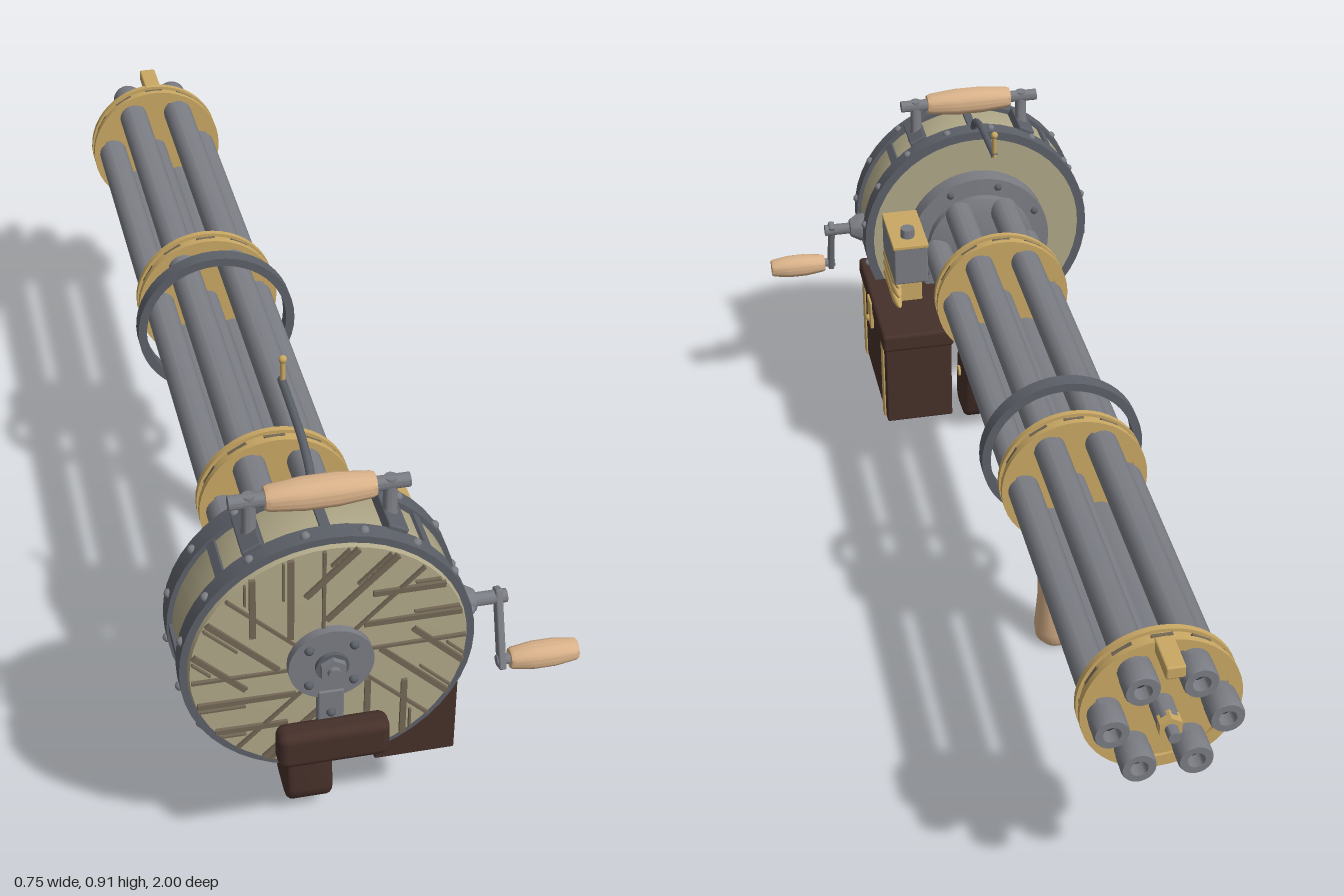
import * as THREE from 'three';
import { toCreasedNormals } from 'three/addons/utils/BufferGeometryUtils.js';
import { RoundedBoxGeometry } from 'three/addons/geometries/RoundedBoxGeometry.js';

const CX = -0.105, CY = 0.53; // barrel axis

export function createModel() {
  const root = new THREE.Group();
  root.name = 'rotaryGun';
  const mat = (name, color) => Object.assign(new THREE.MeshStandardMaterial({ color }), { name });
  const steel = mat('steel', 0x7b7d84);
  const darkSteel = mat('dark steel', 0x5c6068);
  const cream = mat('cream plate', 0xb0a888);
  const groove = mat('slat groove', 0x746856);
  const brown = mat('dark leather', 0x46302a);
  const brass = mat('brass', 0xc9a864);
  const wood = mat('pale wood', 0xd8b189);
  const rail = mat('rail grey green', 0x7f8a86);
  const bore = mat('bore', 0x33353a);

  const add = (name, geo, m, x = 0, y = 0, z = 0) => {
    const mesh = new THREE.Mesh(geo, m);
    mesh.name = name;
    mesh.position.set(x, y, z);
    root.add(mesh);
    return mesh;
  };
  const box = (name, m, x0, x1, y0, y1, z0, z1, r = 0.004) =>
    add(name, new RoundedBoxGeometry(x1 - x0, y1 - y0, z1 - z0, 2, r), m, (x0 + x1) / 2, (y0 + y1) / 2, (z0 + z1) / 2);
  // profile points are [radius, distance along the axis]
  const turned = (pts, axis = 'y', seg = 32) => {
    const g = toCreasedNormals(new THREE.LatheGeometry(pts.map(p => new THREE.Vector2(...p)), seg), 0.6);
    if (axis === 'z') g.rotateX(Math.PI / 2);
    if (axis === 'x') g.rotateZ(-Math.PI / 2);
    return g;
  };
  const rod = (r, a, b, axis, seg = 20) => turned([[0, a], [r, a], [r, b], [0, b]], axis, seg);
  const hoop = (r0, r1, a, b) => turned([[r0, a], [r1, a], [r1, b], [r0, b], [r0, a]], 'z', 48);
  const onAxis = (name, geo, m) => add(name, geo, m, CX, CY, 0);
  const tube = (name, m, pts, r) =>
    add(name, new THREE.TubeGeometry(new THREE.CatmullRomCurve3(pts.map(p => new THREE.Vector3(...p))), 20, r, 8), m);
  const polar = (i, n, r, off = 0) => {
    const a = (i / n) * Math.PI * 2 + off;
    return [CX + r * Math.cos(a), CY + r * Math.sin(a)];
  };
  const bolt = new THREE.SphereGeometry(0.009, 10, 8);

  // Drum with riveted rims
  onAxis('drum', turned([[0, 0.765], [0.245, 0.765], [0.255, 0.78], [0.255, 0.92], [0.248, 0.938], [0, 0.942]], 'z', 48), cream);
  for (const [a, b] of [[0.765, 0.805], [0.895, 0.93]]) {
    onAxis('drumRim', hoop(0.245, 0.265, a, b), darkSteel);
    for (let i = 0; i < 16; i++) add('rimBolt', bolt, steel, ...polar(i, 16, 0.264, 0.15), (a + b) / 2);
  }
  for (let i = 0; i < 8; i++) {
    const [x, y] = polar(i, 8, 0.257);
    add('drumStrap', new THREE.BoxGeometry(0.008, 0.018, 0.1), darkSteel, x, y, 0.85).rotation.z = i * Math.PI / 4;
  }

  // Pinwheel of slats on the drum face
  for (let s = 0; s < 8; s++) {
    const sector = new THREE.Group();
    sector.name = 'slatSector';
    sector.position.set(CX, CY, 0.943);
    sector.rotation.z = s * Math.PI / 4;
    for (const [d, start, w] of [[0.012, 0.072, 0.006], [0.07, 0.06, 0.011], [0.083, 0.15, 0.004], [0.137, 0.075, 0.011], [0.15, 0.15, 0.004]]) {
      const end = Math.sqrt(0.246 ** 2 - d * d);
      const line = new THREE.Mesh(new THREE.BoxGeometry(end - start, w, 0.008), groove);
      line.name = 'slatGroove';
      line.position.set((start + end) / 2, d, -0.002);
      sector.add(line);
    }
    root.add(sector);
  }

  // Hub, bracket and shoulder pad
  onAxis('hubPlate', rod(0.077, 0.935, 0.957, 'z', 36), steel);
  onAxis('hubWasher', rod(0.03, 0.95, 0.965, 'z', 24), darkSteel);
  onAxis('hubNut', rod(0.025, 0.96, 0.976, 'z', 6), steel);
  onAxis('hubPin', rod(0.012, 0.97, 0.985, 'z', 16), steel);
  for (let i = 0; i < 4; i++) add('hubBolt', bolt, darkSteel, ...polar(i, 4, 0.057, Math.PI / 4), 0.957);
  box('padBracket', steel, CX - 0.024, CX + 0.024, 0.305, 0.47, 0.94, 0.96);
  add('bracketBolt', bolt, darkSteel, CX, 0.42, 0.96);
  box('shoulderPad', brown, -0.207, -0.003, 0.328, 0.407, 0.95, 1.0, 0.018);

  // Collars behind the drum
  onAxis('rearCollar', turned([[0, 0.69], [0.1, 0.69], [0.125, 0.7], [0.125, 0.72], [0.165, 0.722], [0.165, 0.77], [0, 0.77]], 'z', 40), steel);
  for (let i = 0; i < 8; i++) add('collarBolt', bolt, darkSteel, ...polar(i, 8, 0.147, 0.3), 0.722);

  // Six hollow barrels around a spindle
  const barrel = turned([[0.017, -0.93], [0.017, -0.97], [0.031, -0.97], [0.033, -0.965], [0.033, -0.925], [0.032, -0.92], [0.032, 0.7]], 'z', 20);
  for (let i = 0; i < 6; i++) {
    const [x, y] = polar(i, 6, 0.105);
    add('barrel', barrel, steel, x, y, 0);
    add('boreEnd', new THREE.CircleGeometry(0.018, 16), bore, x, y, -0.94).rotation.y = Math.PI;
  }
  onAxis('spindle', rod(0.022, -0.96, 0.7, 'z'), steel);
  onAxis('spindleNut', rod(0.024, -0.975, -0.95, 'z', 6), brass);
  onAxis('spindleTip', rod(0.012, -1.0, -0.97, 'z', 12), steel);

  // Brass barrel clamps
  for (const z of [0.48, -0.225, -0.89]) {
    onAxis('clampPlate', rod(0.143, z - 0.015, z + 0.015, 'z', 48), brass);
    for (const s of [-1, 1]) onAxis('clampRim', hoop(0.125, 0.15, z + s * 0.015 - 0.006, z + s * 0.015 + 0.006), brass);
    for (let i = 0; i < 12; i++) {
      const [x, y] = polar(i, 12, 0.143);
      add('clampSlot', new THREE.BoxGeometry(0.006, 0.04, 0.007), groove, x, y, z).rotation.z = i * Math.PI / 6;
    }
  }

  // Support hoop, rail and front grip
  onAxis('supportHoop', hoop(0.15, 0.168, -0.137, -0.105), darkSteel);
  box('hoopFoot', darkSteel, CX - 0.025, CX + 0.025, 0.335, 0.375, -0.14, -0.1);
  box('rail', rail, CX - 0.02, CX + 0.02, 0.335, 0.361, -0.2, 0.42);
  box('railEnd', darkSteel, CX - 0.025, CX + 0.025, 0.331, 0.364, -0.215, -0.19);
  add('frontGrip', turned([[0, 0], [0.03, 0], [0.043, 0.015], [0.046, 0.04], [0.039, 0.13], [0.041, 0.23], [0.047, 0.29], [0.052, 0.295], [0.052, 0.325], [0.045, 0.335], [0, 0.335]], 'y', 24), wood, CX, 0, -0.1);

  // Lower frame, connector and trigger
  box('lowerFrame', brown, -0.15, -0.06, 0.33, 0.425, 0.5, 0.78, 0.01);
  add('frameNose', rod(0.022, 0.41, 0.52, 'z'), brown, CX, 0.348, 0);
  add('railSocket', rod(0.026, 0.395, 0.415, 'z'), darkSteel, CX, 0.348, 0);
  tube('trigger', brown, [[CX, 0.34, 0.46], [CX, 0.3, 0.46], [CX, 0.27, 0.485], [CX, 0.26, 0.52]], 0.007);

  // Rear grip
  const side = new THREE.Shape();
  side.moveTo(0.66, 0.36);
  side.lineTo(0.685, 0.18);
  side.lineTo(0.705, 0.068);
  side.quadraticCurveTo(0.712, 0.048, 0.735, 0.048);
  side.lineTo(0.775, 0.045);
  side.quadraticCurveTo(0.8, 0.047, 0.802, 0.075);
  side.lineTo(0.78, 0.2);
  side.lineTo(0.77, 0.36);
  const grip = new THREE.ExtrudeGeometry(side, { depth: 0.066, bevelSize: 0.012, bevelThickness: 0.012, bevelSegments: 3, curveSegments: 6 });
  grip.translate(0, 0, -0.033).rotateY(-Math.PI / 2);
  add('rearGrip', toCreasedNormals(grip, 0.7), brown, CX, 0, 0);
  add('gripStud', rod(0.013, -0.05, 0.05, 'x', 14), brass, CX, 0.148, 0.755);

  // Ammunition box with straps and clasp
  box('ammoBox', brown, 0.003, 0.157, 0.187, 0.4, 0.52, 0.868);
  box('ammoLid', brown, -0.002, 0.163, 0.385, 0.428, 0.512, 0.875, 0.008);
  for (const z of [0.56, 0.832]) box('boxStrap', brass, -0.001, 0.161, 0.185, 0.388, z - 0.014, z + 0.014, 0.002);
  box('clasp', brass, 0.16, 0.168, 0.35, 0.42, 0.675, 0.72, 0.002);
  add('claspStud', bolt, brass, 0.168, 0.368, 0.698);

  // Feed housing and cartridges
  box('feedHousing', steel, 0.04, 0.118, 0.51, 0.605, 0.6, 0.77);
  box('feedCover', brass, 0.038, 0.12, 0.602, 0.611, 0.598, 0.76, 0.002);
  add('coverBolt', rod(0.016, 0.605, 0.632, 'y', 12), steel, 0.079, 0, 0.645);
  box('feedChute', brass, 0.045, 0.1, 0.42, 0.515, 0.66, 0.77);
  for (const y of [0.447, 0.475, 0.5])
    add('cartridge', turned([[0, 0.6], [0.006, 0.61], [0.012, 0.64], [0.012, 0.77], [0, 0.77]], 'z', 12), brass, 0.108, y, 0);

  // Crank on the left side
  add('crankFlange', turned([[0, 0.15], [0.032, 0.15], [0.032, 0.164], [0.02, 0.185], [0.013, 0.187], [0.013, 0.245], [0, 0.245]], 'x', 20), steel, 0, CY, 0.845);
  const arm = box('crankArm', steel, 0.222, 0.236, 0.395, 0.552, 0.856, 0.88);
  arm.rotation.x = -0.36;
  add('crankPin', rod(0.01, 0.22, 0.26, 'x', 12), steel, 0, 0.415, 0.889);
  const handle = l => [[0, 0], [0.7, 0], [0.8, 0.04], [1, 0.35], [1, 0.65], [0.8, 0.96], [0.7, 1], [0, 1]].map(([r, t]) => [r * l[0], l[1] + t * l[2]]);
  add('crankHandle', turned(handle([0.026, 0.245, 0.128]), 'x', 20), wood, 0, 0.415, 0.889);

  // Carrying handle
  add('carryBar', rod(0.013, -0.265, 0.053, 'x', 14), steel, 0, 0.833, 0.85);
  add('carryGrip', turned(handle([0.03, -0.202, 0.194]), 'x', 20), wood, 0, 0.833, 0.85);
  for (const s of [-1, 1]) {
    const x = CX + s * 0.124;
    add('carryPost', turned([[0, 0.745], [0.02, 0.745], [0.013, 0.775], [0.012, 0.845], [0, 0.845]], 'y', 14), steel, x, 0, 0.85);
    box('postFoot', darkSteel, x - 0.02, x + 0.02, 0.745, 0.772, 0.8, 0.9).rotation.z = -s * 0.48;
  }

  // Sight arm and post
  tube('sightArm', darkSteel, [[CX, 0.785, 0.79], [CX, 0.815, 0.775], [CX, 0.838, 0.72], [CX, 0.845, 0.65], [CX, 0.849, 0.54]], 0.008);
  add('sightPost', rod(0.005, 0.845, 0.9, 'y', 10), brass, CX, 0, 0.55);
  add('sightBead', new THREE.SphereGeometry(0.008, 12, 8), brass, CX, 0.899, 0.55);
  // Muzzle sight
  box('muzzleSight', brass, CX - 0.018, CX + 0.018, 0.655, 0.682, -0.985, -0.9);

  return root;
}
